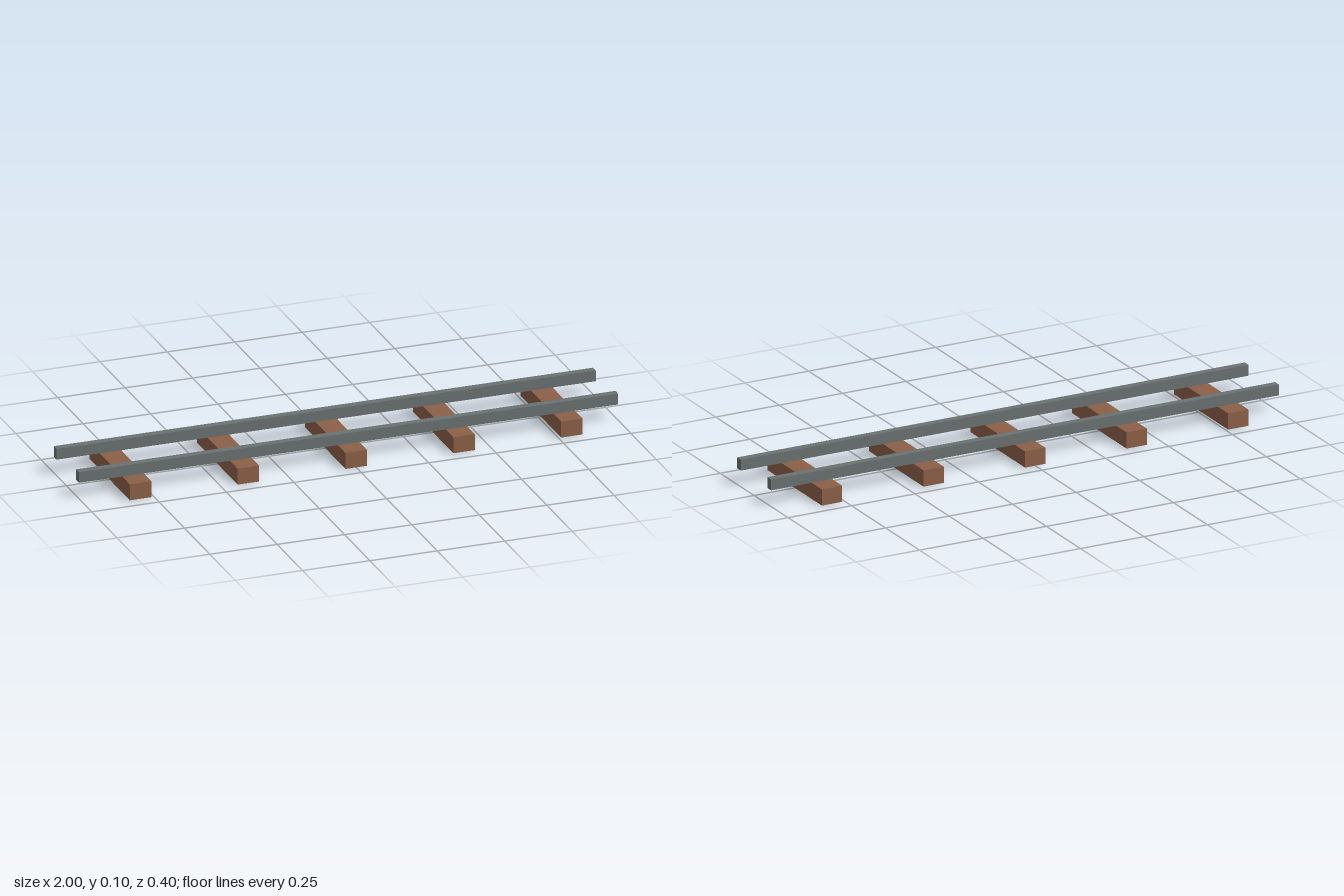
import * as THREE from 'three';

export function createModel() {
  const track = new THREE.Group();
  track.name = 'railwayTrack';

  const wood = new THREE.MeshStandardMaterial({ color: 0x8b5f47 });
  wood.name = 'brown wood';
  const steel = new THREE.MeshStandardMaterial({ color: 0x697171 });
  steel.name = 'grey steel';

  const addPart = (name, geometry, material, x, y, z) => {
    const mesh = new THREE.Mesh(geometry, material);
    mesh.name = name;
    mesh.position.set(x, y, z);
    track.add(mesh);
  };

  // Five evenly spaced sleepers across the track
  const sleeperGeometry = new THREE.BoxGeometry(0.08, 0.06, 0.4);
  for (let i = 0; i < 5; i++) {
    addPart(`sleeper${i + 1}`, sleeperGeometry, wood, (i - 2) * 0.4, 0.03, 0);
  }

  // Two rails resting on the sleepers
  const railGeometry = new THREE.BoxGeometry(2, 0.04, 0.028);
  addPart('frontRail', railGeometry, steel, 0, 0.08, 0.111);
  addPart('backRail', railGeometry, steel, 0, 0.08, -0.111);

  return track;
}
